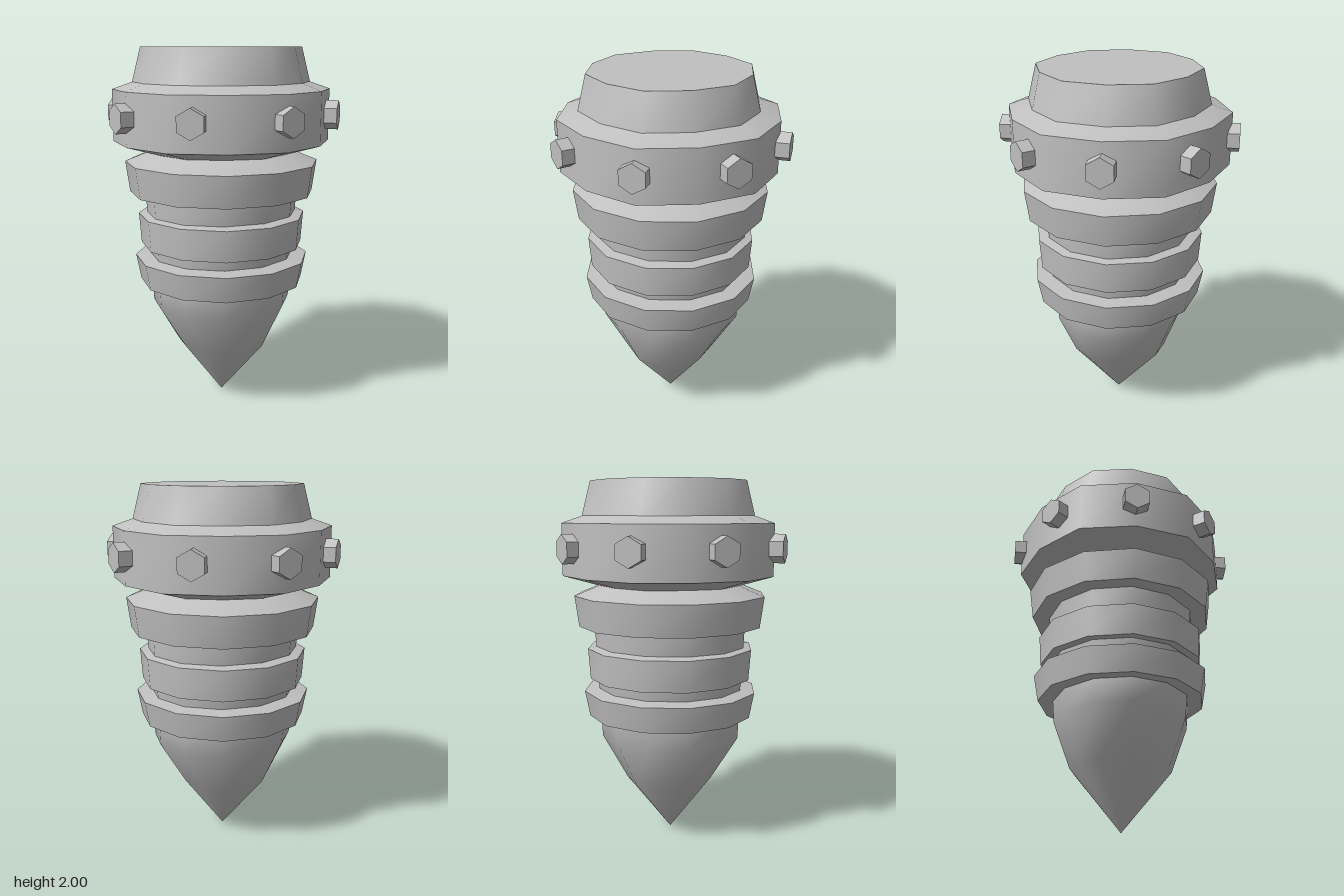
import * as THREE from 'three';

const SIDES = 12;
// Radius factor of each corner, repeating every half turn
const WORN = [1, 0.965, 1, 0.975, 1, 0.965];
const EVEN = [1];

// Twelve-sided skin through rings [rx, rz, y], listed from top to bottom
function loft(rings, corners) {
  const pos = [], index = [];
  for (const [rx, rz, y] of rings) {
    for (let k = 0; k < SIDES; k++) {
      const a = (k / SIDES) * Math.PI * 2, f = corners[k % corners.length];
      pos.push(rx * f * Math.sin(a), y, rz * f * Math.cos(a));
    }
  }
  for (let r = 0; r < rings.length - 1; r++) {
    for (let k = 0; k < SIDES; k++) {
      const n = (k + 1) % SIDES;
      const d = r * SIDES + k, c = r * SIDES + n;
      const a = d + SIDES, b = c + SIDES;
      index.push(a, b, c, a, c, d);
    }
  }
  const g = new THREE.BufferGeometry();
  g.setAttribute('position', new THREE.Float32BufferAttribute(pos, 3));
  g.setIndex(index);
  g.computeVertexNormals();
  return g;
}

export function createModel() {
  const model = new THREE.Group();
  model.name = 'drillBody';
  const metal = new THREE.MeshStandardMaterial({ color: 0xc0c0c0 });
  metal.name = 'greyMetal';

  // Each pair of neighbouring rings is its own band, so rims stay sharp
  function bands(name, rings, corners) {
    const group = new THREE.Group();
    group.name = name;
    for (let i = 0; i < rings.length - 1; i++) {
      const mesh = new THREE.Mesh(loft([rings[i], rings[i + 1]], corners), metal);
      mesh.name = name + 'Band';
      group.add(mesh);
    }
    model.add(group);
  }

  // Flat head and bolted collar
  bands('headAndCollar', [
    [0, 0, 2], [0.437, 0.437, 2], [0.485, 0.485, 1.815],
    [0.595, 0.595, 1.777], [0.595, 0.595, 1.495], [0.4, 0.4, 1.44],
  ], WORN);

  // Three flared rings with the shank showing between them
  bands('upperRing', [
    [0.385, 0.385, 1.445], [0.535, 0.535, 1.385], [0.512, 0.512, 1.215], [0.42, 0.41, 1.213],
  ], EVEN);
  bands('upperShank', [[0.43, 0.418, 1.22], [0.423, 0.408, 1.1]], EVEN);
  bands('middleRing', [
    [0.4, 0.39, 1.105], [0.467, 0.467, 1.09], [0.455, 0.455, 0.92], [0.4, 0.39, 0.918],
  ], EVEN);
  bands('lowerShank', [[0.416, 0.405, 0.925], [0.408, 0.395, 0.855]], EVEN);
  bands('lowerRing', [
    [0.385, 0.37, 0.863], [0.49, 0.487, 0.848], [0.463, 0.46, 0.705], [0.39, 0.365, 0.703],
  ], EVEN);

  // Smooth pointed tip
  const tip = new THREE.Mesh(loft([
    [0.405, 0.378, 0.71], [0.399, 0.367, 0.58], [0.247, 0.275, 0.33], [0, 0, 0],
  ], EVEN), metal);
  tip.name = 'tip';
  model.add(tip);

  // Hexagonal bolts around the collar: [end x, end z, facing angle]
  const LENGTH = 0.16;
  const boltShape = new THREE.CylinderGeometry(0.077, 0.077, LENGTH, 6).toNonIndexed();
  boltShape.computeVertexNormals();
  boltShape.rotateX(Math.PI / 2).translate(0, 0, -LENGTH / 2);
  const bolts = [[0, 0.635, 0], [0, -0.638, 180]];
  for (const s of [1, -1]) {
    bolts.push([s * 0.64, -0.003, s * 90], [s * 0.4625, 0.435, s * 41], [s * 0.44, -0.452, s * 140]);
  }
  for (const [x, z, angle] of bolts) {
    const bolt = new THREE.Mesh(boltShape, metal);
    bolt.name = 'bolt';
    bolt.position.set(x, 1.645, z);
    bolt.rotation.y = THREE.MathUtils.degToRad(angle);
    model.add(bolt);
  }
  return model;
}
